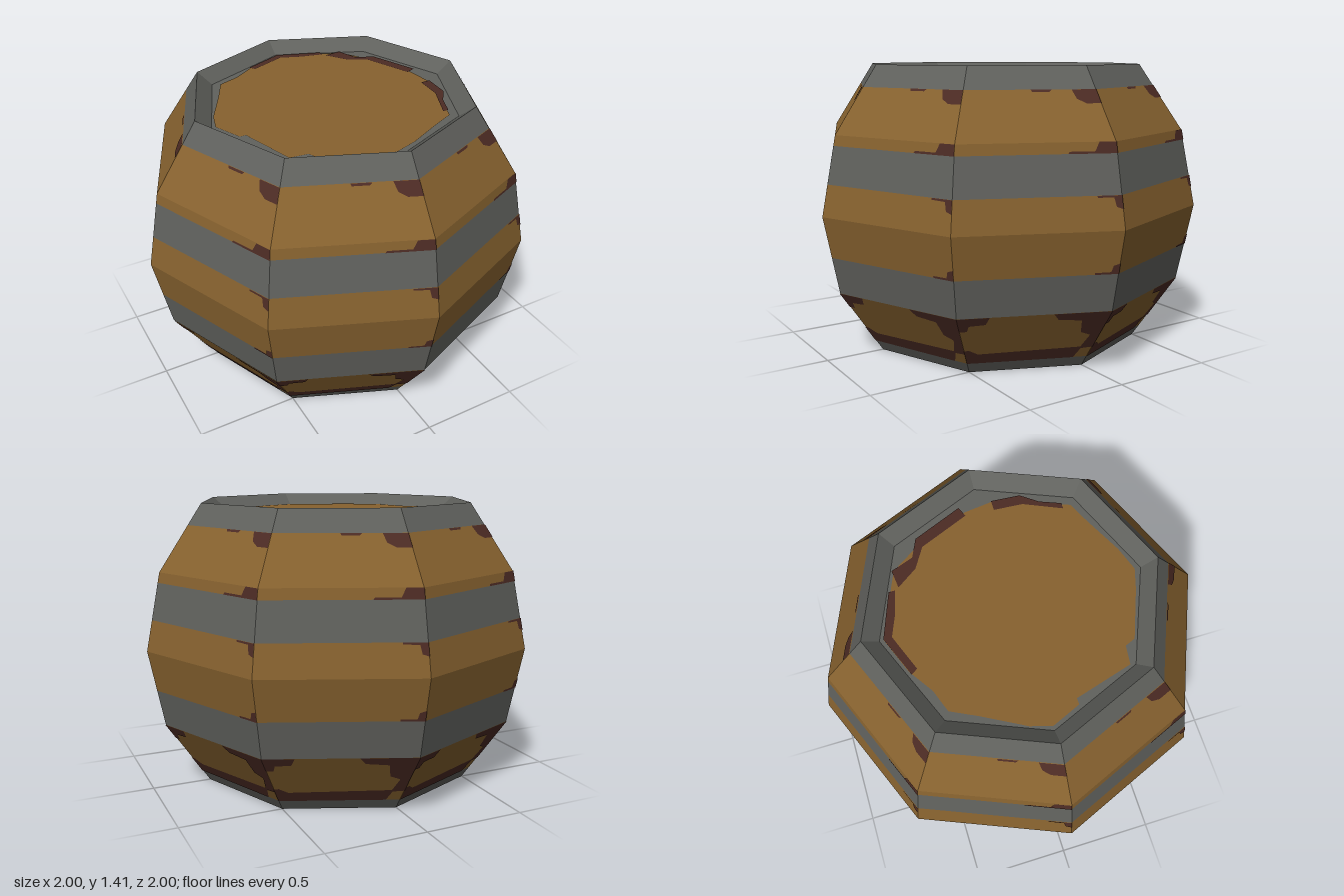
import * as THREE from 'three';

const wood = new THREE.MeshStandardMaterial({ name: 'wood', color: 0x87622f });
const iron = new THREE.MeshStandardMaterial({ name: 'iron', color: 0x60615d });
const stain = new THREE.MeshStandardMaterial({ name: 'darkStain', color: 0x4c2b24 });

const SIDES = 8;
const TOP = 1.414;
const LID = 1.354;
// Barrel outline: [radius, height]
const outline = [[0.707, 0], [0.924, 0.324], [1, 0.707], [0.924, 1.09], [0.707, TOP]];

function radiusAt(y) {
  for (let i = 1; i < outline.length; i++) {
    const [r0, y0] = outline[i - 1], [r1, y1] = outline[i];
    if (y <= y1) return r0 + (r1 - r0) * (y - y0) / (y1 - y0);
  }
  return 0.707;
}

function flatMesh(name, geometry, material) {
  const g = geometry.index ? geometry.toNonIndexed() : geometry;
  g.computeVertexNormals();
  const mesh = new THREE.Mesh(g, material);
  mesh.name = name;
  return mesh;
}

// Eight-sided ring from a profile
function ring(name, profile, material) {
  const points = profile.map(([r, y]) => new THREE.Vector2(r, y));
  return flatMesh(name, new THREE.LatheGeometry(points, SIDES), material);
}

// Ring that follows the barrel outline between two heights
function band(name, y0, y1, material) {
  const inner = outline.filter(([, y]) => y > y0 + 0.002 && y < y1 - 0.002);
  return ring(name, [[radiusAt(y0), y0], ...inner, [radiusAt(y1), y1]], material);
}

function polygon(points) {
  return new THREE.ShapeGeometry(new THREE.Shape(points.map(([x, y]) => new THREE.Vector2(x, y))));
}

// Thin stain laid on one side; points are [fraction across the side, height]
function sideStain(points, side) {
  const g = polygon(points);
  const p = g.attributes.position;
  const a0 = side * Math.PI * 2 / SIDES, a1 = a0 + Math.PI * 2 / SIDES;
  for (let i = 0; i < p.count; i++) {
    const u = p.getX(i), y = p.getY(i), r = radiusAt(y) + 0.003;
    p.setXYZ(i,
      r * THREE.MathUtils.lerp(Math.sin(a0), Math.sin(a1), u), y,
      r * THREE.MathUtils.lerp(Math.cos(a0), Math.cos(a1), u));
  }
  return g;
}

// Flat plate lying on a lid; points are [x, z]
function lidPlate(name, points, y, material) {
  const g = polygon(points.map(([x, z]) => [x, -z]));
  g.rotateX(-Math.PI / 2);
  g.translate(0, y, 0);
  return flatMesh(name, g, material);
}

const sideStains = [
  // upper staves
  [[0.81, 1.31], [0.83, 1.27], [0.89, 1.25], [1, 1.25], [1, 1.31]],
  [[0.5, 1.31], [0.51, 1.3], [0.64, 1.3], [0.66, 1.31]],
  [[0.69, 1.04], [1, 1.04], [1, 1.09], [0.89, 1.09], [0.86, 1.05], [0.7, 1.05]],
  // middle staves
  [[0.85, 0.86], [0.85, 0.852], [0.95, 0.85], [0.96, 0.81], [1, 0.8], [1, 0.86]],
  [[0.85, 0.505], [1, 0.505], [1, 0.555], [0.96, 0.545], [0.95, 0.515], [0.85, 0.514]],
  // lower staves: L-shaped run along the bottom and the right edge
  [[0, 0.055], [0.88, 0.055], [0.91, 0.11], [1, 0.115], [1, 0.324], [0.62, 0.324], [0.66, 0.29],
    [0.82, 0.28], [0.85, 0.21], [0.93, 0.19], [0.9, 0.12], [0.1, 0.11], [0.04, 0.135], [0, 0.135]],
  [[0, 0.25], [0.05, 0.25], [0.07, 0.28], [0.18, 0.285], [0.21, 0.324], [0, 0.324]],
];

const lidWood = [[-0.61, 0], [-0.55, 0.14], [-0.52, 0.14], [-0.44, 0.42], [-0.35, 0.43], [-0.33, 0.48],
  [-0.1, 0.57], [0, 0.6], [0.12, 0.56], [0.3, 0.47], [0.41, 0.42], [0.47, 0.26], [0.54, 0.08],
  [0.52, -0.08], [0.42, -0.33], [0.32, -0.48], [0.2, -0.53], [0, -0.61], [-0.18, -0.54],
  [-0.3, -0.46], [-0.41, -0.42], [-0.47, -0.3], [-0.58, -0.1]];

const lidStains = [
  [[0.23, -0.48], [0.32, -0.49], [0.36, -0.38], [0.45, -0.34], [0.55, -0.1], [0.5, -0.08], [0.4, -0.32], [0.3, -0.38]],
  [[-0.2, -0.53], [0, -0.61], [0.22, -0.53], [0.22, -0.5], [0.1, -0.53], [0, -0.57], [-0.18, -0.5]],
  [[0.49, 0.06], [0.54, 0.06], [0.53, 0.2], [0.47, 0.28], [0.43, 0.38], [0.4, 0.38], [0.48, 0.2]],
];

// Recessed barrel end: sloping rim, iron disc, wooden lid and stains
function barrelEnd(name) {
  const end = new THREE.Group();
  end.name = name;
  end.add(ring('rimSlope', [[0.707, TOP], [0.63, LID]], iron));
  end.add(ring('lidEdge', [[0.63, LID], [0, LID]], iron));
  end.add(lidPlate('lidWood', lidWood, LID + 0.004, wood));
  lidStains.forEach((s) => end.add(lidPlate('lidStain', s, LID + 0.008, stain)));
  return end;
}

export function createModel() {
  const barrel = new THREE.Group();
  barrel.name = 'barrel';

  // Hoops and staves, bottom to top
  barrel.add(
    band('bottomHoop', 0, 0.055, iron),
    band('lowerStaves', 0.055, 0.324, wood),
    band('lowerHoop', 0.324, 0.505, iron),
    band('middleStaves', 0.505, 0.86, wood),
    band('upperHoop', 0.86, 1.04, iron),
    band('upperStaves', 1.04, 1.31, wood),
    band('topHoop', 1.31, TOP, iron),
  );

  // The same stains on every side
  for (let side = 0; side < SIDES; side++) {
    sideStains.forEach((s) => barrel.add(flatMesh('staveStain', sideStain(s, side), stain)));
  }

  // Both ends
  const bottom = barrelEnd('bottomEnd');
  bottom.rotation.z = Math.PI;
  bottom.position.y = TOP;
  barrel.add(barrelEnd('topEnd'), bottom);
  return barrel;
}
